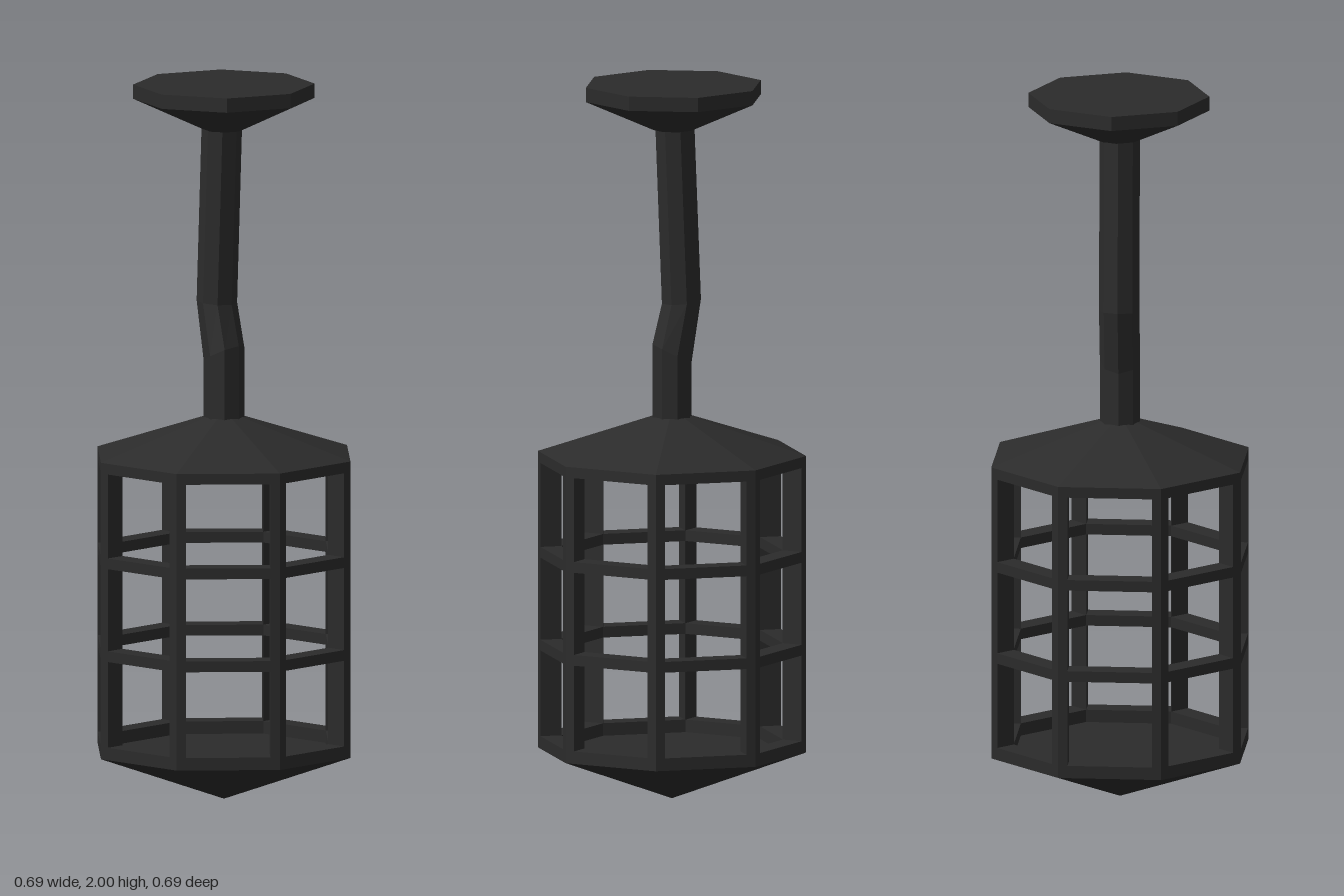
import * as THREE from 'three';

const APOTHEM = 0.345;                           // centre to a flat side of the cage
const RADIUS = APOTHEM / Math.cos(Math.PI / 8);
const HALF = RADIUS * Math.sin(Math.PI / 8);     // half a side
const WALL = 0.06;
const INNER_HALF = HALF * (APOTHEM - WALL) / APOTHEM;
const LOW = 0.135, HIGH = 0.965;

// One cage side with three window openings, mitred to fit its neighbours
function cageSideGeometry() {
  const rect = (Type, w, y0, y1) => {
    const p = new Type();
    p.moveTo(-w, y0);
    p.lineTo(w, y0);
    p.lineTo(w, y1);
    p.lineTo(-w, y1);
    p.closePath();
    return p;
  };
  const shape = rect(THREE.Shape, HALF, LOW, HIGH);
  for (const [y0, y1] of [[0.17, 0.41], [0.44, 0.67], [0.70, 0.935]]) {
    shape.holes.push(rect(THREE.Path, INNER_HALF - 0.001, y0, y1));
  }
  const geo = new THREE.ExtrudeGeometry(shape, { depth: WALL, bevelEnabled: false });
  const pos = geo.attributes.position;
  for (let i = 0; i < pos.count; i++) {
    const x = pos.getX(i);
    if (pos.getZ(i) < WALL / 2 && Math.abs(x) > HALF - 0.01) pos.setX(i, Math.sign(x) * INNER_HALF);
  }
  geo.translate(0, 0, APOTHEM - WALL);
  geo.computeVertexNormals();
  return geo;
}

// Bent eight-sided rod; each ring is [centre x, height, tilt], top first
function stemGeometry() {
  const rings = [[-0.008, 1.89, 0], [-0.027, 1.39, -0.08], [0, 1.245, 0.5], [0, 1.05, 0]];
  const geo = new THREE.CylinderGeometry(0.056, 0.056, 1, 8, rings.length - 1, true);
  const pos = geo.attributes.position;
  for (let i = 0; i < pos.count; i++) {
    const [cx, y, tilt] = rings[Math.floor(i / 9)];
    const x = pos.getX(i);
    pos.setXYZ(i, x + cx, y + x * tilt, pos.getZ(i));
  }
  geo.computeVertexNormals();
  return geo;
}

export function createModel() {
  const model = new THREE.Group();
  model.name = 'hangingLantern';
  const iron = new THREE.MeshStandardMaterial({ color: 0x2b2b2b, flatShading: true });
  iron.name = 'dark iron';

  const add = (name, geo, parent = model) => {
    const mesh = new THREE.Mesh(geo, iron);
    mesh.name = name;
    parent.add(mesh);
    return mesh;
  };
  // Closed octagonal section between two heights
  const section = (rTop, rBottom, y0, y1, turn) =>
    new THREE.CylinderGeometry(rTop, rBottom, y1 - y0, 8, 1, false, turn).translate(0, (y0 + y1) / 2, 0);

  // Cage
  const cage = new THREE.Group();
  cage.name = 'cage';
  model.add(cage);
  const side = cageSideGeometry();
  for (let i = 0; i < 8; i++) add('cageSide', side, cage).rotation.y = i * Math.PI / 4;

  // Pointed base and sloping roof
  add('base', section(RADIUS, 0.001, 0, LOW, Math.PI / 8));
  add('roof', section(0.055, RADIUS, HIGH, 1.07, Math.PI / 8));

  // Bent stem and ceiling mount
  add('stem', stemGeometry());
  const mount = new THREE.Group();
  mount.name = 'ceilingMount';
  mount.position.set(-0.003, 0, -0.003);
  model.add(mount);
  add('mountPlate', section(0.251, 0.251, 1.96, 2, 0), mount);
  add('mountCone', section(0.251, 0.056, 1.873, 1.96, 0), mount);

  return model;
}
